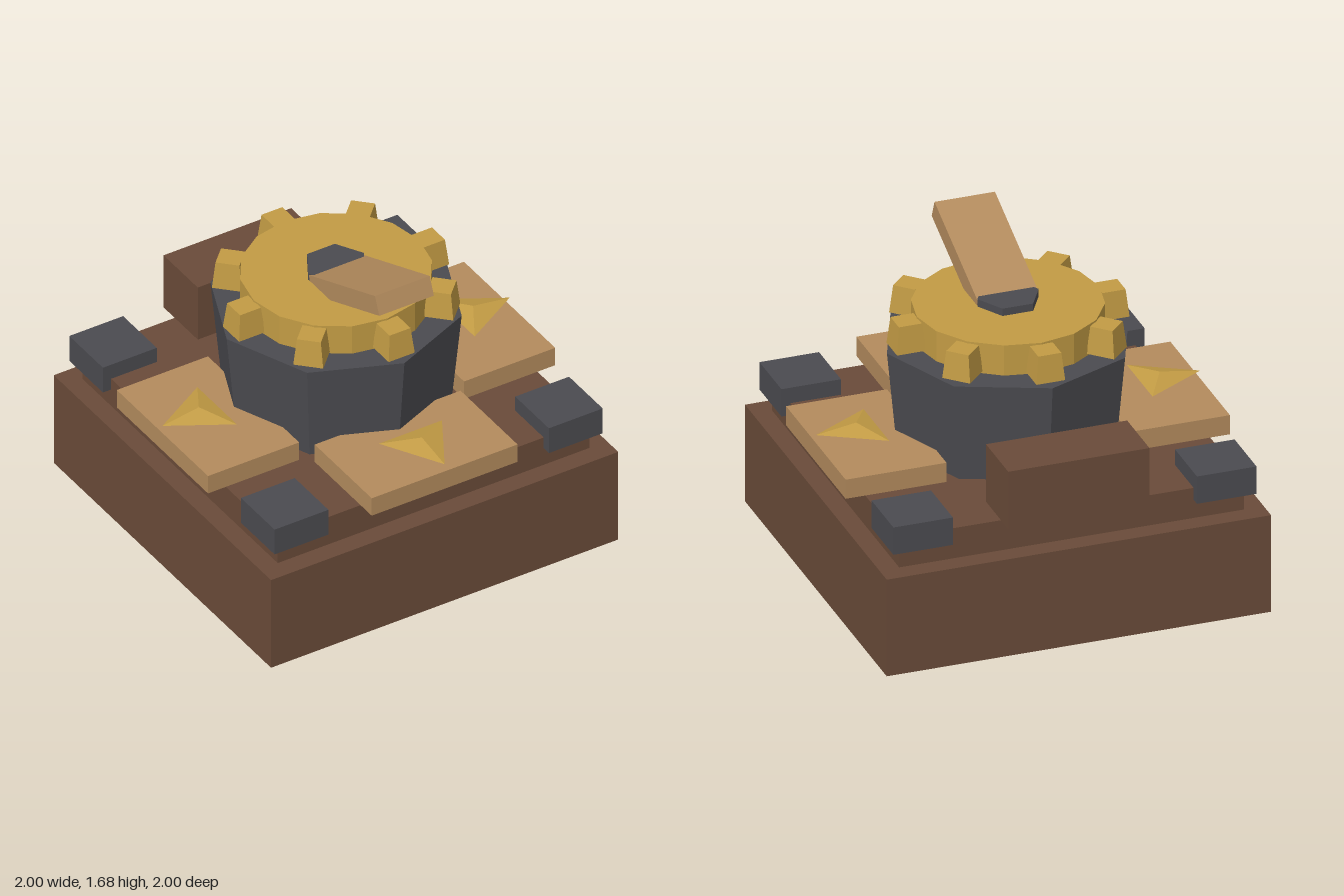
import * as THREE from 'three';

function material(name, color) {
  const m = new THREE.MeshStandardMaterial({ color, flatShading: true });
  m.name = name;
  return m;
}

export function createModel() {
  const brown = material('dark wood', 0x6a4b39);
  const tan = material('light wood', 0xb38b5d);
  const gold = material('brass', 0xc29b44);
  const iron = material('iron', 0x4b4b50);

  const model = new THREE.Group();
  model.name = 'geared mechanism';

  const add = (name, geometry, mat, x, y, z) => {
    const mesh = new THREE.Mesh(geometry, mat);
    mesh.name = name;
    mesh.position.set(x, y, z);
    model.add(mesh);
    return mesh;
  };
  // Box given by its size, bottom height and centre
  const block = (name, mat, w, h, d, x, bottom, z) =>
    add(name, new THREE.BoxGeometry(w, h, d), mat, x, bottom + h / 2, z);

  // Stepped base with a chest at the back
  block('base', brown, 2, 0.53, 2, 0, 0, 0);
  block('upperStep', brown, 1.795, 0.165, 1.795, 0, 0.53, 0);
  block('rearChest', brown, 0.735, 0.315, 0.315, 0, 0.695, -0.8425);

  // Corner blocks
  for (const x of [-1, 1]) {
    for (const z of [-1, 1]) {
      block('cornerBlock', iron, 0.31, 0.15, 0.31, x * 0.79, 0.63, z * 0.79);
    }
  }

  // Pads on the front, left and right, each with a hovering arrow pointing out
  const arrowProfile = [[0, -0.032], [0.21, 0], [0, 0.032]].map(p => new THREE.Vector2(...p));
  const arrowGeometry = new THREE.LatheGeometry(arrowProfile, 3);
  for (const angle of [0, Math.PI / 2, -Math.PI / 2]) {
    const sx = Math.sin(angle), sz = Math.cos(angle);
    block('pad', tan, 0.84, 0.105, 0.525, sx * 0.7375, 0.695, sz * 0.7375).rotation.y = angle;
    add('arrow', arrowGeometry, gold, sx * 0.79, 0.843, sz * 0.79).rotation.y = angle;
  }

  // Flared drum
  add('drum', new THREE.CylinderGeometry(0.63, 0.578, 0.53, 8), iron, 0, 0.96, 0);

  // Gear wheel with eight tapered teeth
  add('gearDisc', new THREE.CylinderGeometry(0.475, 0.475, 0.165, 16), gold, 0, 1.3175, 0);
  const toothGeometry = new THREE.CylinderGeometry(0.06 * Math.SQRT2, 0.075 * Math.SQRT2, 0.145, 4);
  toothGeometry.rotateY(Math.PI / 4);
  for (let i = 0; i < 8; i++) {
    const a = i * Math.PI / 4;
    add('gearTooth', toothGeometry, gold, Math.sin(a) * 0.53, 1.3175, Math.cos(a) * 0.53).rotation.y = a;
  }

  // Hexagonal hub and the lever rising toward the front
  add('hub', new THREE.CylinderGeometry(0.16, 0.16, 0.215, 6), iron, 0, 1.3325, 0).rotation.y = Math.PI / 2;
  add('lever', new THREE.BoxGeometry(0.315, 0.103, 0.66), tan, 0, 1.507, 0.325).rotation.x = -0.39;

  return model;
}
